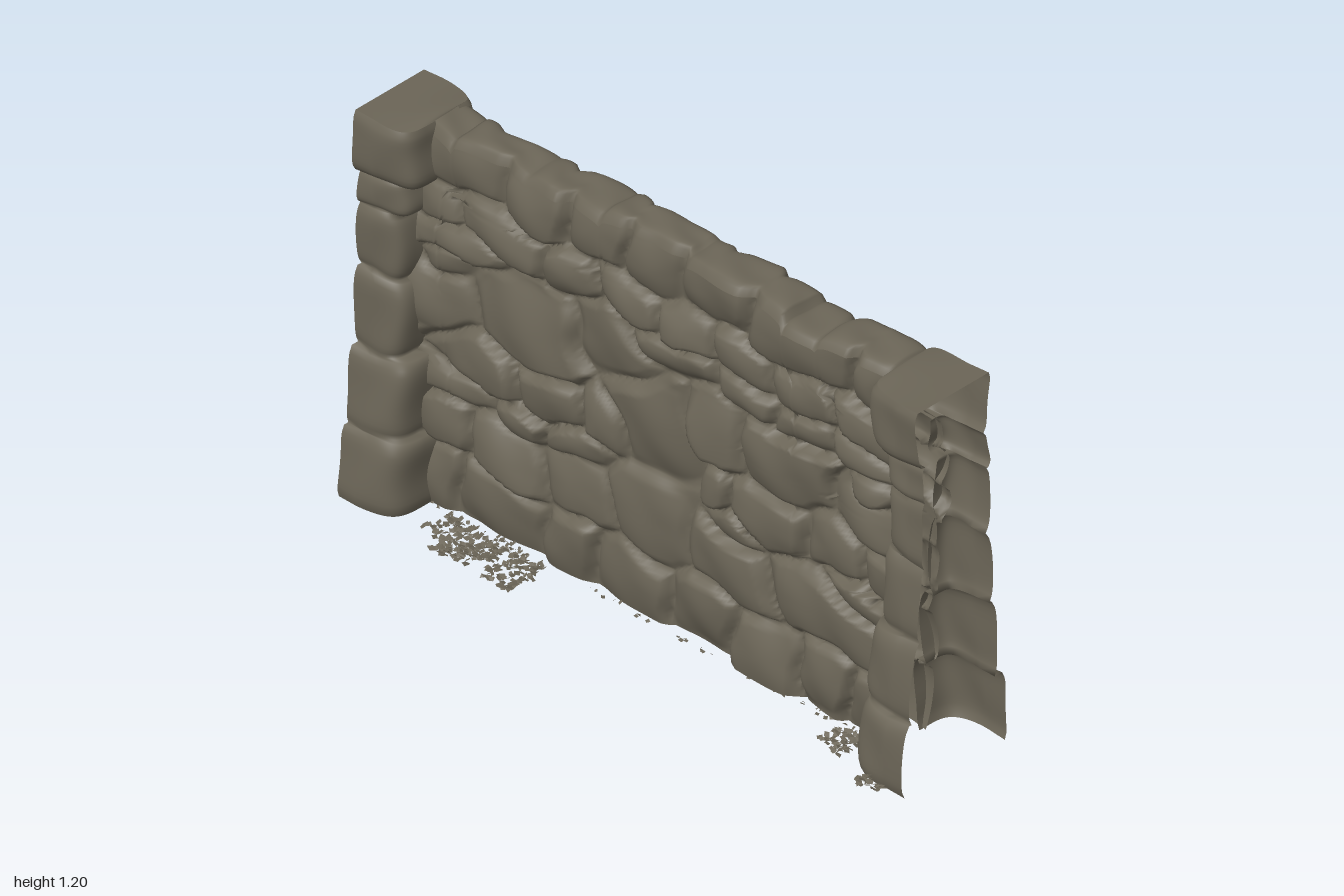
import * as THREE from 'three';

const stone = new THREE.MeshStandardMaterial({ color: 0x6b6557, side: THREE.DoubleSide });
stone.name = 'weathered stone';

let seed = 7;
const rnd = () => (seed = (seed * 16807) % 2147483647) / 2147483647;
const hash = (i) => { const s = Math.sin(i * 127.1 + 3.7) * 43758.5; return s - Math.floor(s); };
const { clamp, lerp } = THREE.MathUtils;

function mesh(name, pos, idx) {
  const g = new THREE.BufferGeometry();
  g.setAttribute('position', new THREE.Float32BufferAttribute(pos, 3));
  if (idx) g.setIndex(idx);
  g.computeVertexNormals();
  const m = new THREE.Mesh(g, stone);
  m.name = name;
  return m;
}

// Smooth grid surface from a rule (u, v) -> [x, y, z]
function sheet(name, nu, nv, rule, flip) {
  const pos = [], idx = [];
  for (let j = 0; j <= nv; j++) for (let i = 0; i <= nu; i++) pos.push(...rule(i / nu, j / nv));
  for (let j = 0; j < nv; j++) for (let i = 0; i < nu; i++) {
    const a = j * (nu + 1) + i, b = a + 1, c = a + nu + 1, d = c + 1;
    if (flip) idx.push(a, d, b, a, c, d);
    else idx.push(a, b, d, a, d, c);
  }
  return mesh(name, pos, idx);
}

// Large stones on each face: [x, y, half width, half height]
const frontBig = [
  [-.45, .71, .16, .12], [-.17, .79, .13, .11], [-.02, .61, .15, .13], [.43, .69, .14, .1], [.2, .68, .1, .1],
  [-.62, .5, .13, .08], [-.03, .32, .13, .12], [.25, .29, .16, .1], [.6, .31, .22, .1], [.38, .1, .14, .1],
];
const backBig = [
  [.23, .66, .13, .13], [-.08, .58, .14, .12], [.02, .8, .12, .1], [.5, .61, .15, .09],
  [.07, .35, .14, .12], [.38, .39, .18, .1], [-.47, .25, .18, .09], [-.37, .63, .15, .09],
];

// Fill the courses with uneven stones, leaving room for the large ones
function layStones(big, k) {
  const stones = big.map(([x, y, w, h]) => ({ x, y, w, h }));
  const courses = [[.1, .1, 8], [.29, .09, 8], [.41, .05, 7], [.51, .08, 9], [.66, .08, 9], [.77, .05, 8], [.85, .045, 7], [.95, .06, 8], [1.09, .08, 7]];
  courses.forEach(([y, h, n], r) => {
    const joint = (i) => -.87 + 1.74 * (i + (hash(r * 31 + i + k * 7) - .5) * .55) / n;
    for (let i = 0; i < n; i++) {
      const x = (joint(i) + joint(i + 1)) / 2, w = (joint(i + 1) - joint(i)) / 2;
      const lift = (hash(r * 17 + i * 3 + k) - .5) * h * .5;
      const covered = big.some(([bx, by, bw, bh]) => Math.hypot((x - bx) / (bw + w * .4), (y + lift - by) / (bh + h * .4)) < 1);
      if (!covered) stones.push({ x, y: y + lift, w, h });
    }
  });
  return stones;
}

// Depth of a rubble face: domed stones divided by narrow grooves
function relief(stones, x0, y0, k) {
  const x = x0 + .012 * Math.sin(y0 * 19 + k) + .003 * Math.sin(y0 * 45 + x0 * 20);
  const y = y0 + .012 * Math.sin(x0 * 15 + k * 2) + .003 * Math.sin(x0 * 41 + y0 * 13);
  let f1 = 9, f2 = 9, near = 0;
  stones.forEach((s, i) => {
    const d = (Math.abs((x - s.x) / s.w) ** 2.6 + Math.abs((y - s.y) / s.h) ** 2.6) ** (1 / 2.6);
    if (d < f1) { f2 = f1; f1 = d; near = i; } else if (d < f2) f2 = d;
  });
  const s = stones[near], id = near + k * 100;
  const groove = Math.sqrt(clamp((f2 - f1) / .4, 0, 1));
  const tilt = (hash(id) - .5) * .024 * clamp((x - s.x) / s.w, -1, 1) + (hash(id + .5) - .5) * .03 * clamp((y - s.y) / s.h, -1, 1);
  const dome = .034 + .022 * hash(id + .25) - .018 * Math.min(f1 * f1, 1.3) + tilt;
  return groove * (dome + .003 * Math.sin(x0 * 27 + y0 * 21 + id));
}

// Uneven top line: [end, height] of each coping stone, from x = -0.95
const coping = [[-.73, 1.17], [-.47, 1.185], [-.2, 1.187], [.09, 1.203], [.45, 1.198], [.58, 1.17], [.82, 1.187], [.95, 1.17]];
function topLine(x) {
  const i = coping.findIndex(([end]) => x <= end);
  const a = i ? coping[i - 1][0] : -.95, [b, h] = coping[i];
  return h - .012 * Math.abs((2 * x - a - b) / (b - a)) ** 6;
}

// Pillar blocks: [bottom, top, inner x, front z bottom/top, back z bottom/top]
const blocks = [
  [.005, .22, .8, .2, .182, .2, .182], [.22, .45, .815, .17, .15, .165, .145], [.45, .68, .845, .137, .13, .143, .13],
  [.68, .88, .865, .122, .125, .122, .135], [.88, .99, .85, .122, .117, .13, .122], [.99, 1.17, .805, .137, .145, .115, .137],
];
const steps = 13, levels = blocks.length * steps - 1;

// Point on a pillar skin: u runs from the wall, round the corner, to the open end; v climbs the blocks
function pillarPoint(side, face, u, v) {
  const level = Math.round(v * levels), row = Math.floor(level / steps), t = (level % steps) / (steps - 1);
  const [y0, y1, xin, f0, f1, b0, b1] = blocks[row];
  const pinch = Math.abs(2 * t - 1) ** 6, id = row + side * 11 + face * 23;
  const z0 = face > 0 ? .025 : .065;
  const out = (face > 0 ? lerp(f0, f1, t) : lerp(b0, b1, t)) - .012 * pinch;
  const inner = xin + .012 * pinch + .008 * (hash(id) - .5) + .006 * Math.sin(t * 5 + id);
  const a = u * Math.PI / 2;
  const x = 1 - (1 - inner) * Math.max(Math.cos(a), 0) ** .4;
  const z = z0 + (out - z0) * Math.sin(a) ** .4 + .005 * Math.sin(x * 22 + t * 4 + id) * u;
  const y = lerp(y0, y1, t);
  return [side * x, y + .007 * Math.sin(x * 22 + y * 9 + side) * Math.sin(Math.PI * Math.min(y / 1.17, 1)), face * z];
}

// Half width of the rubble between the pillars
const halfWidth = (y) => blocks.find((b) => y <= b[1])[2] + .025;

// Clumps of small ragged leaves on the ground: [x, z, spread x, spread z, count]
const clumps = [
  [-.62, .115, .12, .05, 75], [-.6, .18, .06, .03, 25], [-.43, .14, .05, .07, 50], [.71, .12, .05, .055, 35], [.9, .205, .03, .01, 12],
  [.65, -.17, .12, .045, 85], [.43, -.16, .035, .035, 20], [-.47, -.12, .08, .02, 35], [-.8, -.205, .03, .015, 16],
];
function weeds() {
  const pos = [];
  const leaf = (x, y, z, len) => {
    const a = rnd() * Math.PI * 2, w = len * .35, rise = len * (rnd() - .3) * .6;
    const dx = Math.cos(a), dz = Math.sin(a);
    const tip = [x + dx * len, Math.max(y + rise, .002), z + dz * len];
    const mid = (s) => [x + dx * len * .5 - dz * w * s, y + Math.abs(rise) * .6 + s * .003, z + dz * len * .5 + dx * w * s];
    pos.push(x, y, z, ...mid(1), ...mid(-1), ...mid(1), ...tip, ...mid(-1));
  };
  for (const [cx, cz, sx, sz, n] of clumps) {
    for (let i = 0; i < n; i++) {
      const x = cx + (rnd() * 2 - 1) * sx, z = cz + (rnd() * 2 - 1) * sz, y = .004 + rnd() * .018;
      for (let k = 0; k < 3; k++) leaf(x, y, z, .012 + rnd() * .016);
    }
  }
  // Thin fringe along the foot of both faces
  for (let i = 0; i < 120; i++) leaf(rnd() * 1.64 - .82, .004 + rnd() * .008, i % 2 ? .055 : -.1, .01 + rnd() * .01);
  return mesh('weeds', pos);
}

export function createModel() {
  const model = new THREE.Group();
  model.name = 'stoneWall';
  const front = layStones(frontBig, 1), back = layStones(backBig, 2);
  const topWidth = halfWidth(1.17);
  const edge = (x) => topLine(x) - .035;
  const frontZ = (x, y) => .022 + relief(front, x, y, 1);
  const backZ = (x, y) => -.065 - relief(back, x, y, 2);

  // Rubble faces and the rounded coping between them
  const rubble = (depth) => (u, v) => {
    const t = 2 * u - 1, y = lerp(.008, edge(t * topWidth), v), x = t * halfWidth(y);
    return [x, y, depth(x, y)];
  };
  model.add(sheet('frontFace', 200, 130, rubble(frontZ), false));
  model.add(sheet('backFace', 200, 130, rubble(backZ), true));
  model.add(sheet('coping', 200, 16, (u, v) => {
    const x = (2 * u - 1) * topWidth, y = edge(x), t = 2 * v - 1;
    const rise = .035 * Math.sqrt(1 - t ** 4) + .004 * (Math.sin(x * 30 + v * 5) - 1) * (1 - t * t);
    return [x, y + rise, lerp(frontZ(x, y), backZ(x, y), v)];
  }, false));

  // End pillars: hollow stacked blocks, open at the ends and below
  for (const side of [-1, 1]) {
    const pillar = new THREE.Group();
    pillar.name = side > 0 ? 'leftPillar' : 'rightPillar';
    for (const face of [1, -1]) {
      pillar.add(sheet(face > 0 ? 'frontBlocks' : 'backBlocks', 24, levels,
        (u, v) => pillarPoint(side, face, u, v), side * face < 0));
    }
    pillar.add(sheet('pillarCap', 24, 12, (u, v) => {
      const a = pillarPoint(side, 1, u, 1), b = pillarPoint(side, -1, u, 1);
      const crown = .008 * Math.sin(Math.PI * v) * Math.sin(Math.PI * u);
      return [lerp(a[0], b[0], v), lerp(a[1], b[1], v) + crown, lerp(a[2], b[2], v)];
    }, side < 0));
    model.add(pillar);
  }

  model.add(weeds());
  return model;
}
